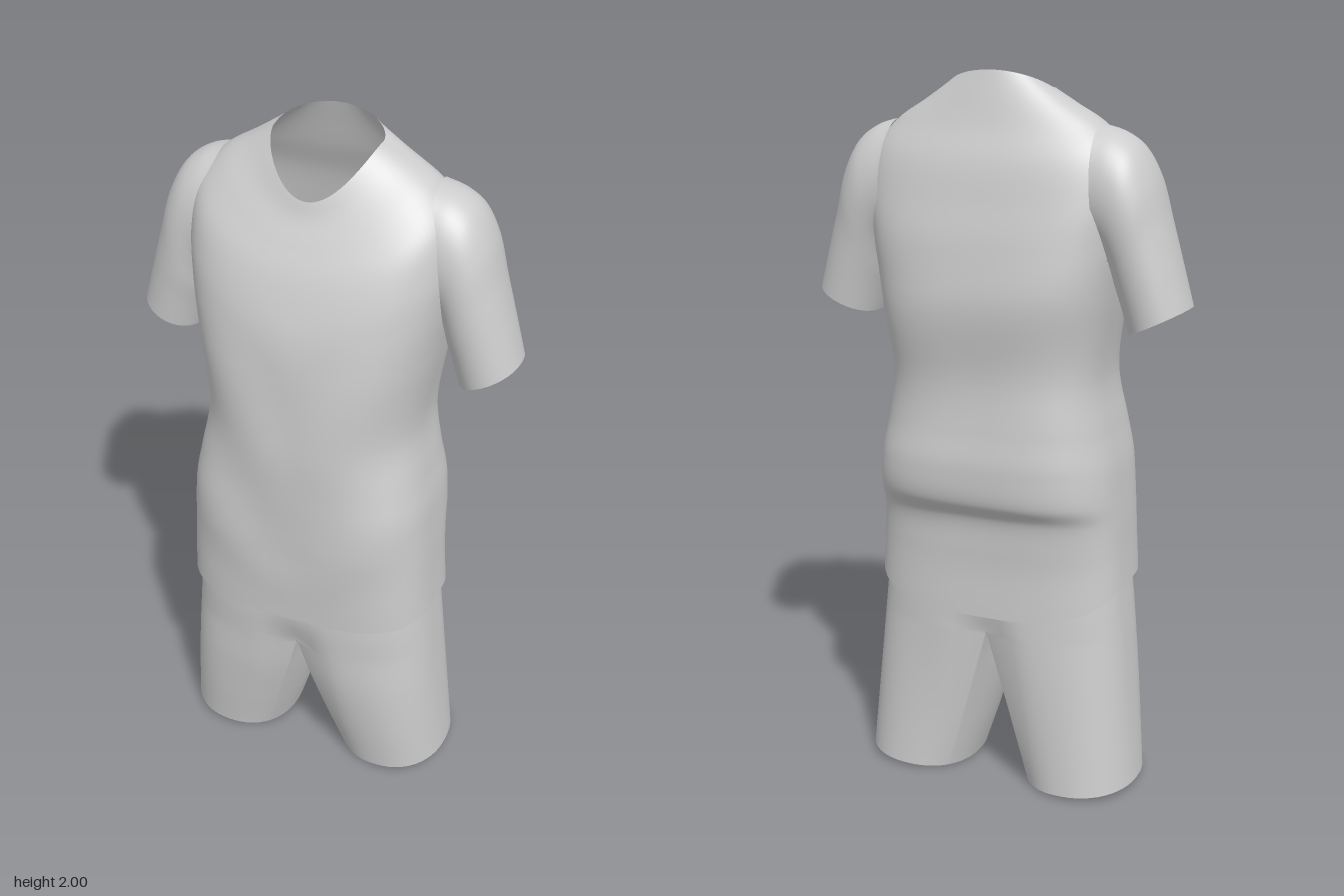
import * as THREE from 'three';
import { mergeGeometries, mergeVertices } from 'three/addons/utils/BufferGeometryUtils.js';

const V = (x, y, z) => new THREE.Vector3(x, y, z);
const TAU = Math.PI * 2;
const spow = (v, e) => Math.sign(v) * Math.abs(v) ** e;

// Smooth skin through rings of equal point count; each column becomes a spline.
// Quads whose corner satisfies the hole test are left open.
function loft(rings, steps, { flip = false, adjust = null, hole = () => false } = {}) {
  const n = rings[0].length;
  const cols = rings[0].map((_, j) =>
    new THREE.CatmullRomCurve3(rings.map(r => r[j])).getPoints(steps));
  const pos = [], idx = [];
  for (let i = 0; i <= steps; i++) {
    for (let j = 0; j < n; j++) {
      const p = cols[j][i];
      if (adjust) adjust(p);
      pos.push(p.x, p.y, p.z);
    }
  }
  for (let i = 0; i < steps; i++) {
    for (let j = 0; j < n; j++) {
      if (hole(cols[j][i])) continue;
      const a = i * n + j, b = i * n + (j + 1) % n, c = a + n, d = b + n;
      if (flip) idx.push(a, c, b, b, c, d);
      else idx.push(a, b, c, b, d, c);
    }
  }
  const g = new THREE.BufferGeometry();
  g.setAttribute('position', new THREE.Float32BufferAttribute(pos, 3));
  g.setIndex(idx);
  return g;
}

// Body ring: heights at front, side and back; half width; front, back and middle depth;
// roundness of the front and back halves
function bodyRing([yF, yS, yB, w, zF, zB, zM, eF, eB], n = 96) {
  return Array.from({ length: n }, (_, j) => {
    const t = j / n * TAU, c = Math.cos(t), s = Math.sin(t), e = s > 0 ? eF : eB;
    return V(w * spow(c, e),
      yS + (s > 0 ? (yF - yS) * s * s : (yB - yS) * Math.abs(s) ** 1.3),
      zM + (s > 0 ? zF - zM : zM - zB) * spow(s, e));
  });
}

// Gentle drape: slanted folds on the front, level ones low on the back
function drape(p) {
  const m = THREE.MathUtils.smoothstep(p.y, 0.62, 0.85) * (1 - THREE.MathUtils.smoothstep(p.y, 1.4, 1.65));
  if (p.z > 0) p.z += 0.004 * m * Math.sin(13 * p.y - 16 * Math.abs(p.x)) * Math.min(1, p.z * 5);
  else p.z += 0.004 * m * Math.sin(17 * p.y + 5 * p.x) * Math.min(1, -p.z * 5);
}

// Opening in the body inside each sleeve
const armhole = p => Math.abs(p.x) > 0.25 &&
  ((p.y - 1.65) / 0.15) ** 2 + ((p.z + 0.053) / 0.1) ** 2 < 1;

export function createModel() {
  const model = new THREE.Group();
  const cloth = new THREE.MeshStandardMaterial({ color: 0xcccccc, side: THREE.DoubleSide });
  cloth.name = 'grey cloth';
  const add = (name, g) => {
    g.computeVertexNormals();
    const mesh = new THREE.Mesh(g, cloth);
    mesh.name = name;
    model.add(mesh);
  };

  // Shirt body, from neckline to hem
  const body = [
    [1.83, 1.955, 2.00, 0.145, 0.11, -0.12, -0.04, 1, 1],
    [1.79, 1.918, 1.945, 0.21, 0.125, -0.138, -0.045, 1, 0.95],
    [1.73, 1.87, 1.86, 0.29, 0.158, -0.165, -0.05, 0.95, 0.85],
    [1.66, 1.80, 1.77, 0.348, 0.195, -0.200, -0.05, 0.88, 0.75],
    [1.58, 1.69, 1.66, 0.362, 0.225, -0.226, -0.045, 0.84, 0.68],
    [1.50, 1.56, 1.55, 0.350, 0.247, -0.250, -0.03, 0.82, 0.65],
    [1.40, 1.42, 1.42, 0.330, 0.262, -0.262, -0.02, 0.82, 0.65],
    [1.20, 1.20, 1.20, 0.302, 0.268, -0.246, -0.01, 0.78, 0.66],
    [1.06, 1.06, 1.06, 0.322, 0.268, -0.250, 0, 0.7, 0.66],
    [0.96, 0.96, 0.96, 0.340, 0.268, -0.262, 0, 0.65, 0.66],
    [0.87, 0.87, 0.865, 0.348, 0.266, -0.257, 0, 0.63, 0.66],
    [0.80, 0.80, 0.81, 0.353, 0.262, -0.220, 0, 0.62, 0.66],
    [0.70, 0.71, 0.70, 0.358, 0.257, -0.205, 0, 0.62, 0.66],
    [0.587, 0.61, 0.52, 0.365, 0.250, -0.206, 0, 0.62, 0.66],
  ];
  add('shirtBody', loft(body.map(r => bodyRing(r)), 117, { adjust: drape, hole: armhole }));

  // Sleeves: inner point, outer point, half depth and middle depth of each ring
  const sleeve = [
    [0.310, 1.54, 0.290, 1.868, 0.128, -0.055],
    [0.318, 1.53, 0.345, 1.852, 0.131, -0.055],
    [0.325, 1.515, 0.395, 1.818, 0.132, -0.055],
    [0.332, 1.49, 0.438, 1.745, 0.130, -0.053],
    [0.342, 1.45, 0.472, 1.63, 0.124, -0.05],
    [0.358, 1.40, 0.504, 1.52, 0.117, -0.05],
    [0.378, 1.332, 0.536, 1.408, 0.11, -0.05],
  ];
  for (const side of [1, -1]) {
    const rings = sleeve.map(([ix, iy, ox, oy, d, z]) => Array.from({ length: 48 }, (_, j) => {
      const t = j / 48 * TAU, k = (1 + Math.cos(t)) / 2;
      return V(side * (ix + (ox - ix) * k), iy + (oy - iy) * k, z + d * spow(Math.sin(t), 0.9));
    }));
    add(side > 0 ? 'leftSleeve' : 'rightSleeve', loft(rings, 48, { flip: side < 0 }));
  }

  // Shorts: a hip band whose lower ring splits into two legs
  const N = 96, crotchY = 0.46, zF = 0.232, zB = -0.194;
  const hip = (y, w, f, b, groove) => bodyRing([y, y, y, w, f, b, 0, 0.68, 0.7], N).map(p => {
    // Shallow groove along the middle seam
    p.z -= Math.sign(p.z) * groove * Math.exp(-((p.x / 0.07) ** 2));
    return p;
  });
  const split = () => hip(crotchY, 0.368, zF, zB, 0.035);
  const parts = [loft([
    hip(0.82, 0.325, 0.235, -0.18, 0),
    hip(0.65, 0.346, 0.238, -0.186, 0),
    hip(0.56, 0.357, 0.238, -0.192, 0.008),
    split(),
  ], 20)];
  const [front, back] = [split()[N / 4].z, split()[3 * N / 4].z];
  for (const side of [1, -1]) {
    const top = split().map((p, j) => {
      if (j < N / 4 || j > 3 * N / 4) return V(side * p.x, p.y, p.z);
      // Inner half follows the dipping crotch seam
      const k = (j - N / 4) / (N / 2);
      return V(0, crotchY - 0.06 * Math.sin(Math.PI * k), front + (back - front) * k);
    });
    const hem = top.map((_, j) => {
      // The outer half of the hip spreads around most of the leg opening
      const a = j / N * TAU, b = a > Math.PI ? a - TAU : a, q = Math.PI / 2;
      const m = Math.abs(b) < q ? Math.abs(b) * 1.5 : q * 1.5 + (Math.abs(b) - q) * 0.5;
      const t = Math.sign(b) * m;
      return V(side * (0.25 + 0.162 * spow(Math.cos(t), 0.9)),
        0.01 + 0.01 * Math.cos(t), -0.012 + 0.183 * spow(Math.sin(t), 0.9));
    });
    // In between, the legs stay full at the front and close together inside
    const between = (f, bulge) => top.map((p, j) => {
      const q = p.clone().lerp(hem[j], f);
      const inner = Math.max(0, -Math.cos(j / N * TAU));
      q.x = THREE.MathUtils.lerp(p.x, hem[j].x, f ** (1 + 0.5 * inner));
      q.z += bulge * Math.max(0, q.z / zF);
      return q;
    });
    parts.push(loft([top, between(0.3, 0.012), between(0.65, 0.012), hem], 30, { flip: side < 0 }));
  }
  add('shorts', mergeVertices(mergeGeometries(parts)));

  return model;
}
